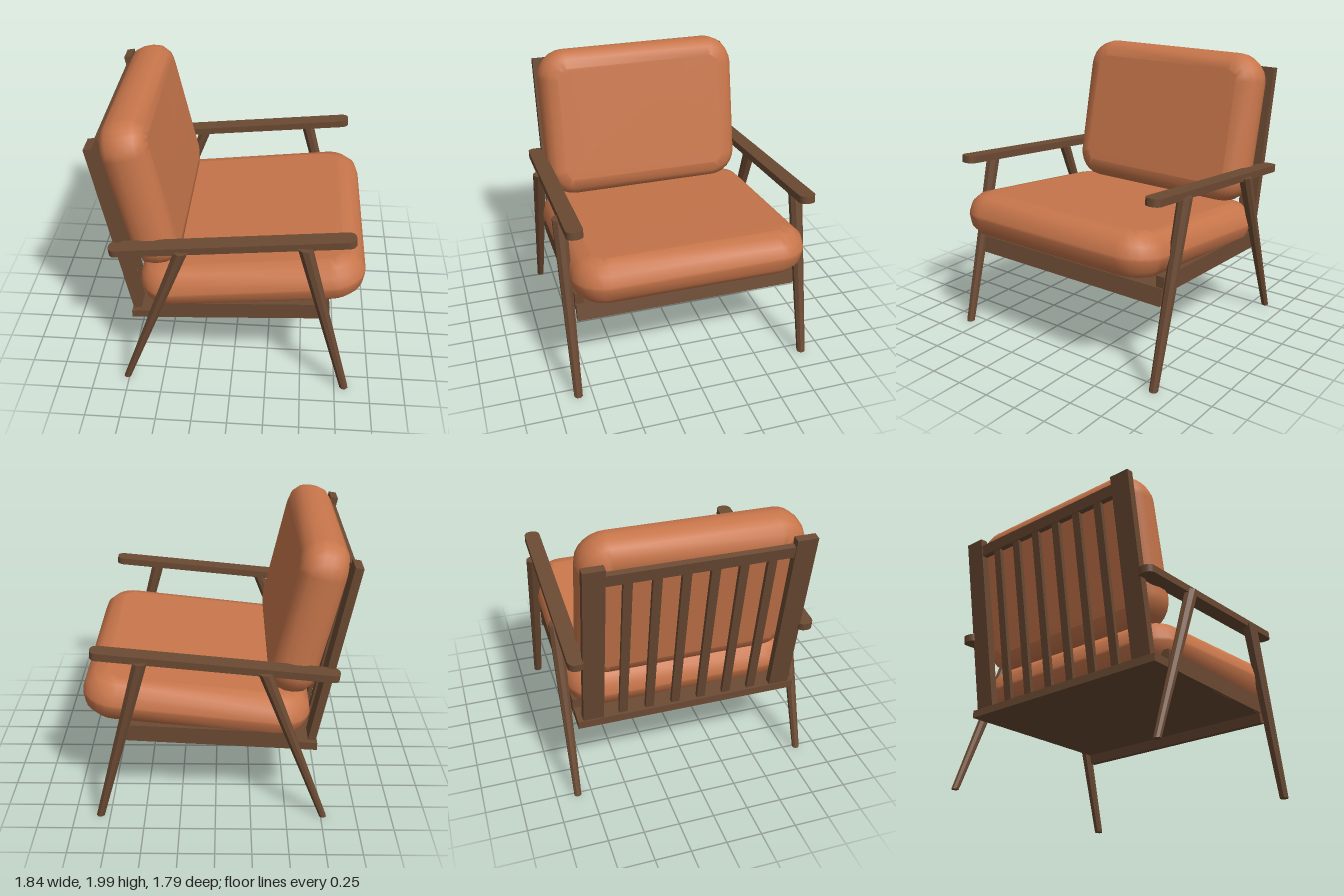
import * as THREE from 'three';
import { mergeVertices } from 'three/addons/utils/BufferGeometryUtils.js';

const wood = new THREE.MeshStandardMaterial({ color: 0x6b4a33, flatShading: true });
const leather = new THREE.MeshStandardMaterial({ color: 0xc8764b });

function part(parent, name, geometry, material = wood) {
  const mesh = new THREE.Mesh(geometry, material);
  mesh.name = name;
  parent.add(mesh);
  return mesh;
}

// Side profile in x/y, extruded from z0 to z1
function slab(points, z0, z1) {
  const shape = new THREE.Shape(points.map(([x, y]) => new THREE.Vector2(x, y)));
  const g = new THREE.ExtrudeGeometry(shape, { depth: z1 - z0, bevelEnabled: false });
  return g.translate(0, 0, z0);
}

// Rectangle with rounded corners, centred on the origin
function roundedRect(w, h, r) {
  const s = new THREE.Shape();
  const x = w / 2 - r, y = h / 2 - r;
  s.absarc(x, y, r, 0, Math.PI / 2);
  s.absarc(-x, y, r, Math.PI / 2, Math.PI);
  s.absarc(-x, -y, r, Math.PI, Math.PI * 1.5);
  s.absarc(x, -y, r, Math.PI * 1.5, Math.PI * 2);
  s.closePath();
  return s;
}

// Soft padded block: w by h in x/y, t thick in z, with smooth normals
function cushion(w, h, t, corner, round) {
  const shape = roundedRect(w - 2 * round, h - 2 * round, corner - round);
  let g = new THREE.ExtrudeGeometry(shape, {
    depth: t - 2 * round, bevelThickness: round, bevelSize: round,
    bevelSegments: 3, curveSegments: 3,
  });
  g.translate(0, 0, round - t / 2);
  g.deleteAttribute('uv');
  g.deleteAttribute('normal');
  g = mergeVertices(g, 1e-4);
  g.computeVertexNormals();
  return g;
}

// Tapered eight-sided leg with level ends, sheared from foot to top
function leg(footX, topX, height, footR, topR, z) {
  const g = new THREE.CylinderGeometry(topR, footR, height, 8, 1, false, Math.PI / 8);
  g.translate(0, height / 2, 0);
  const p = g.attributes.position;
  for (let i = 0; i < p.count; i++) {
    p.setX(i, p.getX(i) + footX + (topX - footX) * p.getY(i) / height);
  }
  g.computeVertexNormals();
  return g.translate(0, 0, z);
}

// Leaning upright of the backrest between two heights
const backX = y => -0.663 - (y - 0.58) * 0.18;
function upright(y0, y1, thick, z, width) {
  const a = backX(y0), b = backX(y1), t = thick / 2;
  return slab([[a - t, y0], [a + t, y0], [b + t, y1 + 0.01], [b - t, y1]].map(([x, y]) => [x, y]),
    z - width / 2, z + width / 2);
}

export function createModel() {
  const chair = new THREE.Group();
  chair.name = 'armchair';

  // Cushions
  const seat = part(chair, 'seatCushion', cushion(1.58, 1.66, 0.31, 0.24, 0.145).rotateX(-Math.PI / 2), leather);
  seat.rotation.z = 0.113;
  seat.position.set(0.13, 0.826, 0);
  const back = part(chair, 'backCushion', cushion(1.52, 1.115, 0.32, 0.21, 0.13).rotateY(Math.PI / 2), leather);
  back.rotation.z = 0.215;
  back.position.set(-0.61, 1.44, 0);

  // Seat frame
  const frame = new THREE.Group();
  frame.name = 'seatFrame';
  chair.add(frame);
  part(frame, 'bottomPanel', slab([[-0.69, 0.54], [0.64, 0.61], [0.64, 0.63], [-0.69, 0.56]], -0.79, 0.79));
  part(frame, 'frontApron', slab([[0.65, 0.54], [0.69, 0.54], [0.66, 0.655], [0.62, 0.655]], -0.8, 0.8));
  part(frame, 'backLedge', slab([[-0.7, 0.535], [-0.52, 0.545], [-0.52, 0.605], [-0.7, 0.59]], -0.8, 0.8));

  // Backrest frame: posts, top rail and slats
  const rest = new THREE.Group();
  rest.name = 'backrestFrame';
  chair.add(rest);
  part(rest, 'topRail', upright(1.74, 1.82, 0.04, 0, 1.3));
  for (let i = 0; i < 6; i++) {
    part(rest, 'backSlat', upright(0.58, 1.78, 0.03, (i - 2.5) * 0.19, 0.06));
  }

  for (const side of [1, -1]) {
    const name = side > 0 ? 'left' : 'right';

    part(rest, name + 'BackPost', upright(0.58, 1.87, 0.055, side * 0.69, 0.145));
    part(frame, name + 'SideRail',
      slab([[-0.55, 0.547], [0.65, 0.612], [0.65, 0.735], [-0.55, 0.675]], side * 0.775 - 0.03, side * 0.775 + 0.03));

    // Legs
    part(chair, name + 'FrontLeg', leg(0.82, 0.488, 1.25, 0.031, 0.051, side * 0.85));
    part(chair, name + 'RearLeg', leg(-0.765, -0.325, 1.175, 0.026, 0.048, side * 0.85));

    // Sloping armrest with rounded ends
    const armShape = roundedRect(1.645, 0.115, 0.05);
    const armGeo = new THREE.ExtrudeGeometry(armShape, { depth: 0.052, bevelEnabled: false, curveSegments: 3 });
    armGeo.translate(0, 0, -0.026).rotateX(-Math.PI / 2);
    const arm = part(chair, name + 'Armrest', armGeo);
    arm.rotation.z = 0.1;
    arm.position.set(0, 1.212, side * 0.803);
  }

  return chair;
}
